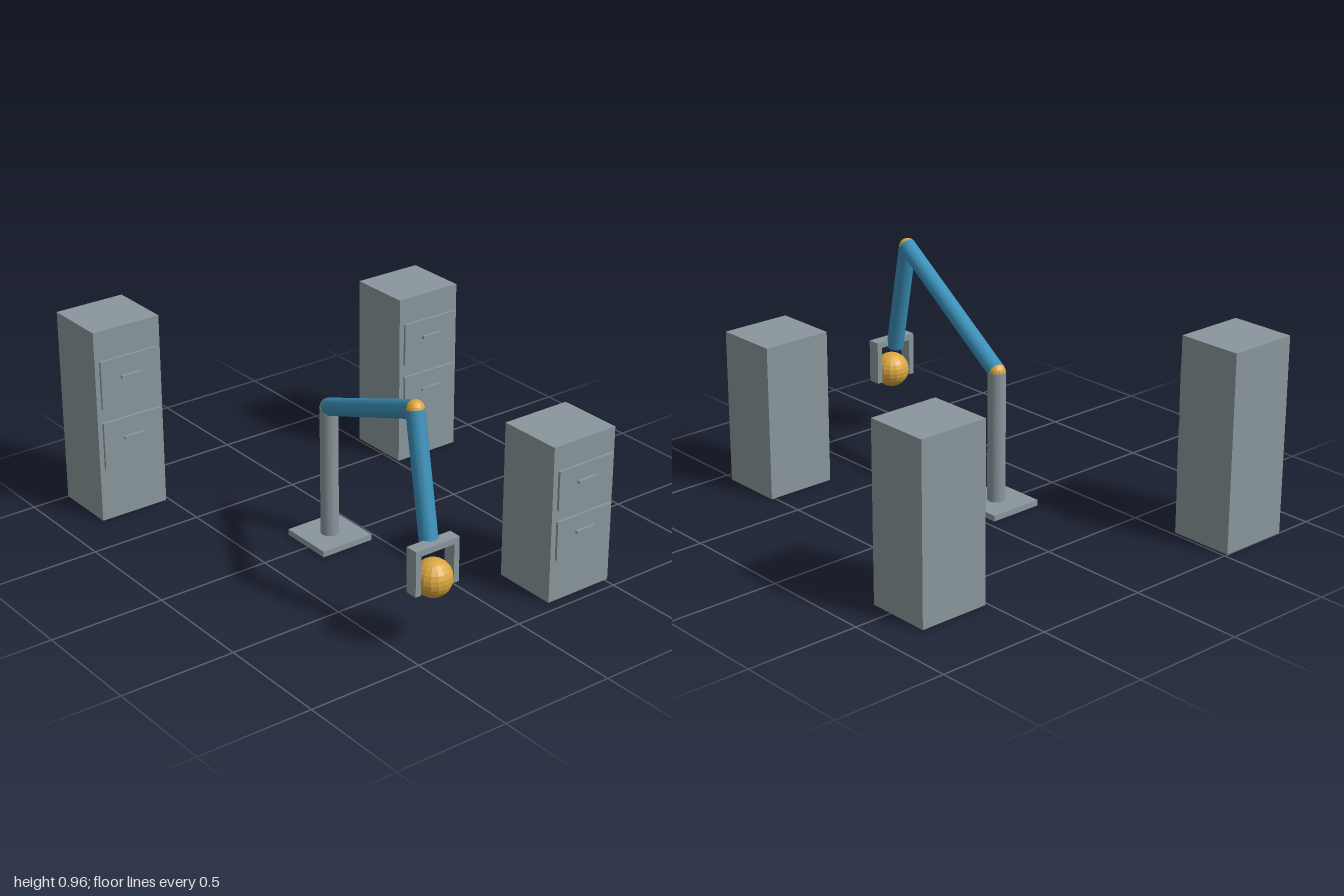
import * as THREE from 'three';

export function createModel() {
  const model = new THREE.Group();
  model.name = 'robotArmAndCabinets';

  const mat = (name, color, flatShading = false) =>
    Object.assign(new THREE.MeshStandardMaterial({ color, flatShading }), { name });
  const grey = mat('steelGrey', 0x8a979c);
  const blue = mat('armBlue', 0x3a90b9);
  const amber = mat('amber', 0xdaa53e, true);

  const add = (parent, name, geometry, material, x, y, z) => {
    const mesh = new THREE.Mesh(geometry, material);
    mesh.name = name;
    mesh.position.set(x, y, z);
    parent.add(mesh);
    return mesh;
  };
  const box = (parent, name, w, h, d, x, y, z) =>
    add(parent, name, new THREE.BoxGeometry(w, h, d), grey, x, y, z);
  const ball = (parent, name, r, p) =>
    add(parent, name, new THREE.SphereGeometry(r, 16, 12), amber, p.x, p.y, p.z);
  const group = (name) => {
    const g = new THREE.Group();
    g.name = name;
    model.add(g);
    return g;
  };

  // Cylinder running between two points
  const rod = (parent, name, r, a, b, material) => {
    const dir = b.clone().sub(a);
    const mid = a.clone().add(b).multiplyScalar(0.5);
    const mesh = add(parent, name, new THREE.CylinderGeometry(r, r, dir.length(), 24),
      material, mid.x, mid.y, mid.z);
    mesh.quaternion.setFromUnitVectors(new THREE.Vector3(0, 1, 0), dir.normalize());
  };

  // Cabinet with two drawers whose size follows its height
  const cabinet = (name, x, frontZ, h) => {
    const g = group(name);
    const depth = 0.287;
    box(g, 'body', 0.316, h, depth, x, h / 2, frontZ - depth / 2);
    [['upper', 0.727], ['lower', 0.404]].forEach(([level, f]) => {
      box(g, level + 'DrawerFront', 0.281, h * 0.249, 0.011, x, h * f, frontZ + 0.0125);
      box(g, level + 'DrawerHandle', 0.095, 0.012, 0.013, x, h * (f + 0.022), frontZ + 0.0245);
    });
  };
  cabinet('tallCabinet', -0.673, -0.713, 0.86);
  cabinet('middleCabinet', 0.671, -0.4, 0.77);
  cabinet('shortCabinet', 0.357, 0.948, 0.68);

  // Arm
  const arm = group('robotArm');
  const foot = new THREE.Vector3(-0.159, 0.026, -0.0135);
  const shoulder = new THREE.Vector3(-0.159, 0.6, -0.0135);
  const elbow = new THREE.Vector3(-0.334, 0.925, 0.757);
  const wrist = new THREE.Vector3(-0.366, 0.421, 0.889);
  box(arm, 'basePlate', 0.247, 0.026, 0.247, foot.x, 0.013, foot.z);
  rod(arm, 'post', 0.0385, foot, shoulder, grey);
  rod(arm, 'upperArm', 0.0375, shoulder, elbow, blue);
  rod(arm, 'forearm', 0.0375, elbow, wrist, blue);
  ball(arm, 'shoulderJoint', 0.0375, shoulder);
  ball(arm, 'elbowJoint', 0.0375, elbow);

  // Gripper holding a ball
  const gripper = group('gripper');
  const gx = -0.3735, gz = 0.922;
  box(gripper, 'gripperBar', 0.209, 0.026, 0.056, gx, 0.44, gz);
  for (const s of [-1, 1]) {
    box(gripper, s > 0 ? 'leftFinger' : 'rightFinger', 0.025, 0.166, 0.056, gx + s * 0.092, 0.344, gz);
  }
  ball(gripper, 'heldBall', 0.078, new THREE.Vector3(-0.372, 0.3, gz));

  return model;
}
